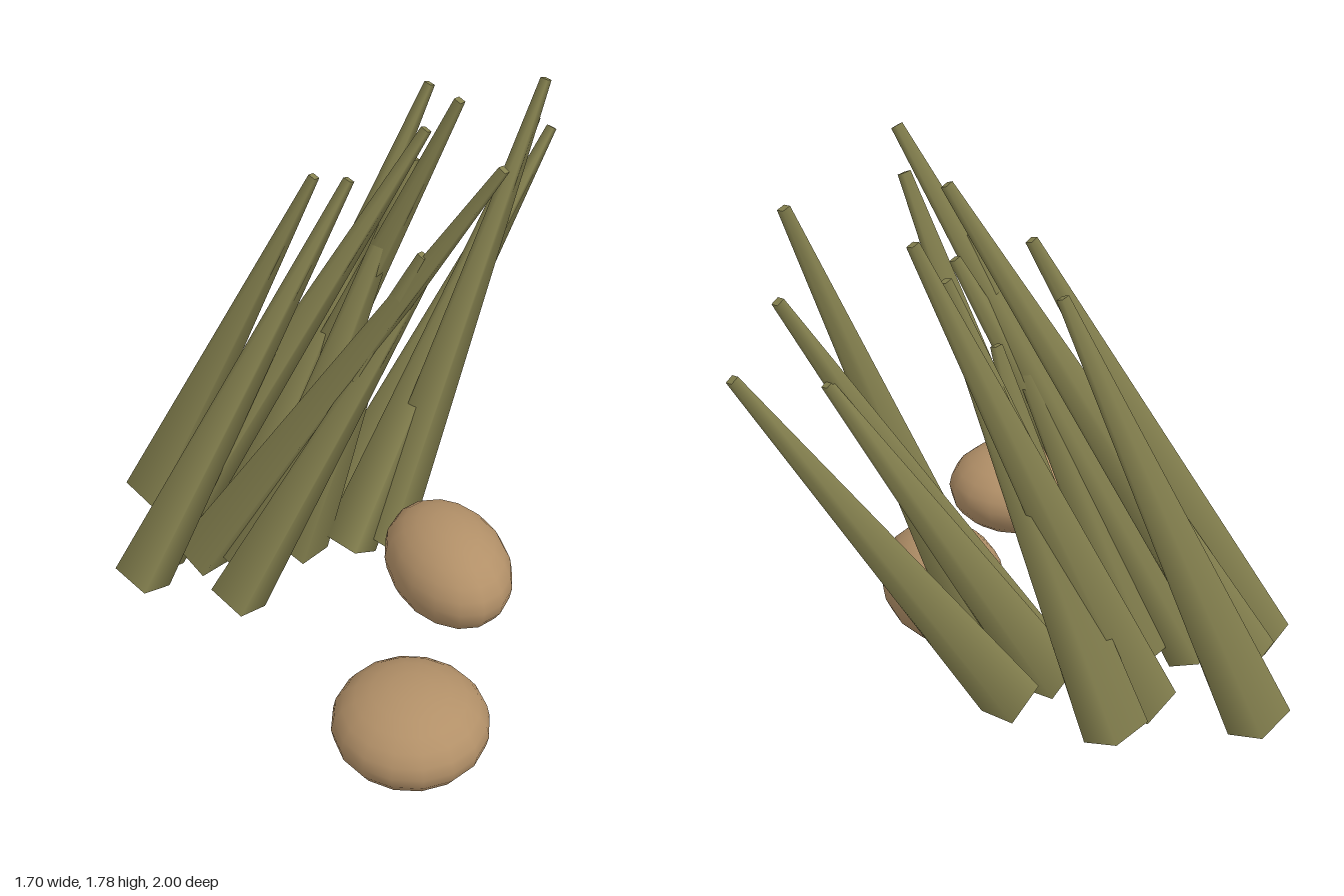
import * as THREE from 'three';

const grass = new THREE.MeshStandardMaterial({ color: 0x85814f });
grass.name = 'olive grass';
const stone = new THREE.MeshStandardMaterial({ color: 0xb29068 });
stone.name = 'tan stone';

// Base centre (x, z) and tip (x, y, z) of every blade
const BASE_Y = 0.077;
const BLADES = [
  [-0.70, -0.72, -0.08, 1.45, -0.58],
  [-0.76, -0.21, 0.01, 1.55, -0.36],
  [-0.70, -0.33, 0.26, 1.72, -0.35],
  [-0.25, -0.77, 0.38, 1.78, -0.42],
  [-0.54, -0.31, 0.43, 1.78, 0.06],
  [0.13, -0.33, 0.71, 1.74, -0.62],
  [0.00, -0.30, 0.72, 1.52, -0.78],
  [0.08, -0.58, 0.83, 1.37, -0.98],
  [-0.05, -0.45, 0.60, 1.24, -0.72],
  [-0.35, -0.61, 0.34, 1.68, -0.76],
  [-0.26, -0.46, 0.26, 1.50, -0.57],
  [-0.43, -0.05, 0.25, 1.39, -0.09],
  [-0.39, -0.27, 0.20, 1.45, -0.02],
  [-0.18, -0.32, 0.12, 1.14, -0.20],
];

// Tapered four-sided stalk leaning from its base to its tip
function makeBlade([bx, bz, tx, ty, tz]) {
  const base = new THREE.Vector3(bx, BASE_Y, bz);
  const tip = new THREE.Vector3(tx, ty, tz);
  const lean = tip.clone().sub(base);
  const blade = new THREE.Mesh(new THREE.CylinderGeometry(0.02, 0.105, lean.length(), 4), grass);
  blade.position.copy(base).add(tip).multiplyScalar(0.5);
  blade.quaternion.setFromUnitVectors(new THREE.Vector3(0, 1, 0), lean.normalize());
  blade.name = 'grassBlade';
  return blade;
}

// Flattened round stone
function makeStone(name, position, radii, yaw) {
  const mesh = new THREE.Mesh(new THREE.SphereGeometry(1, 16, 12), stone);
  mesh.position.set(...position);
  mesh.scale.set(...radii);
  mesh.rotation.y = yaw;
  mesh.name = name;
  return mesh;
}

export function createModel() {
  const model = new THREE.Group();
  model.name = 'grassAndStones';

  const tuft = new THREE.Group();
  tuft.name = 'grassTuft';
  BLADES.forEach((b) => tuft.add(makeBlade(b)));
  model.add(tuft);

  model.add(makeStone('frontStone', [0.06, 0.172, 0.738], [0.257, 0.158, 0.262], 0));
  model.add(makeStone('rearStone', [0.312, 0.186, -0.01], [0.21, 0.18, 0.298], 0.26));
  return model;
}
